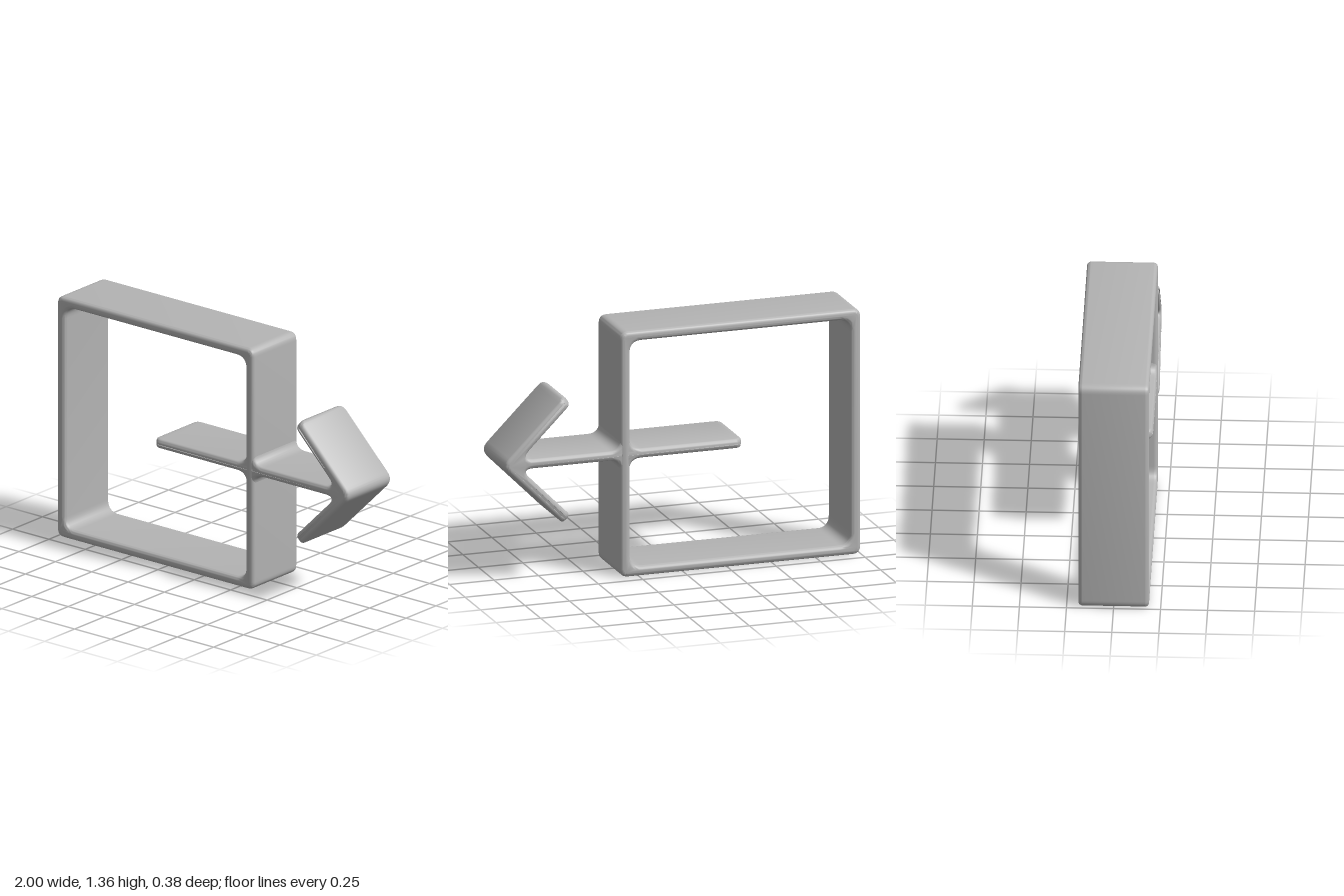
import * as THREE from 'three';
import { toCreasedNormals } from 'three/addons/utils/BufferGeometryUtils.js';

const MID = 0.68;   // height of the arrow's axis
const BEVEL = 0.022;

// Closed outline from [x, y, cut] corners; cut is how far each corner is rounded off.
function outline(path, pts) {
  const v = pts.map(([x, y]) => new THREE.Vector2(x, y));
  const toward = (a, b, d) => a.clone().add(b.clone().sub(a).setLength(d));
  pts.forEach(([x, y, cut], i) => {
    const prev = v[(i + v.length - 1) % v.length], next = v[(i + 1) % v.length];
    const a = cut ? toward(v[i], prev, cut) : v[i];
    if (i === 0) path.moveTo(a.x, a.y); else path.lineTo(a.x, a.y);
    if (cut) {
      const b = toward(v[i], next, cut);
      path.quadraticCurveTo(x, y, b.x, b.y);
    }
  });
  path.closePath();
  return path;
}

const rect = (x0, y0, x1, y1, cut) =>
  [[x0, y0, cut], [x1, y0, cut], [x1, y1, cut], [x0, y1, cut]];

// Plate with soft edges, centred on z = 0
function plate(shape, halfDepth) {
  return new THREE.ExtrudeGeometry(shape, {
    depth: 2 * (halfDepth - BEVEL), bevelEnabled: true, bevelThickness: BEVEL,
    bevelSize: BEVEL, bevelOffset: -BEVEL, bevelSegments: 5, curveSegments: 8,
  }).translate(0, 0, BEVEL - halfDepth);
}

// Round the z corners of a free end by pulling in its last stretch
function roundEnd(geometry, end, dir, halfDepth, r = 0.045) {
  const pos = geometry.attributes.position;
  const p = new THREE.Vector2();
  for (let i = 0; i < pos.count; i++) {
    p.set(pos.getX(i), pos.getY(i));
    if (p.distanceTo(end) > 0.1) continue;
    const t = Math.max(0, end.clone().sub(p).dot(dir));
    if (t >= r) continue;
    const half = halfDepth - r + Math.sqrt(r * r - (r - t) ** 2);
    pos.setZ(i, pos.getZ(i) * half / halfDepth);
  }
}

export function createModel() {
  const group = new THREE.Group();
  const grey = new THREE.MeshStandardMaterial({ color: 0xb4b4b4 });
  grey.name = 'plain grey';

  const add = (name, geometry) => {
    const mesh = new THREE.Mesh(toCreasedNormals(geometry, 0.9), grey);
    mesh.name = name;
    group.add(mesh);
  };

  // Square frame
  const ring = outline(new THREE.Shape(), rect(-1, 0.002, 0.352, 1.36, 0.045));
  ring.holes.push(outline(new THREE.Path(), rect(-0.942, 0.057, 0.297, 1.305, 0.065)));
  add('squareFrame', plate(ring, 0.188));

  // Arrow: shaft, fillets where it crosses the frame, and head (upper half, mirrored)
  const h = 0.0275;
  const upper = [
    [-0.34, h, 0.027], [-0.3, h, 0], [-0.28, h, 0],
    [0.298, h, 0.065], [0.298, 0.12, 0], [0.35, 0.12, 0], [0.35, h, 0.065],
    [0.908, h, 0.07],
    [0.655, 0.2805, 0], [0.623, 0.3125, 0.029], [0.665, 0.3545, 0.029], [0.697, 0.3225, 0],
  ];
  const lower = upper.map(([x, y, c]) => [x, -y, c]).reverse();
  const arrow = plate(outline(new THREE.Shape(), [...upper, [1.02, 0, 0.06], ...lower]), 0.185);
  const s = Math.SQRT1_2;
  roundEnd(arrow, new THREE.Vector2(-0.34, 0), new THREE.Vector2(-1, 0), 0.185);
  for (const m of [1, -1])
    roundEnd(arrow, new THREE.Vector2(0.644, 0.3335 * m), new THREE.Vector2(-s, s * m), 0.185);
  add('arrow', arrow.translate(0, MID, 0));

  return group;
}
